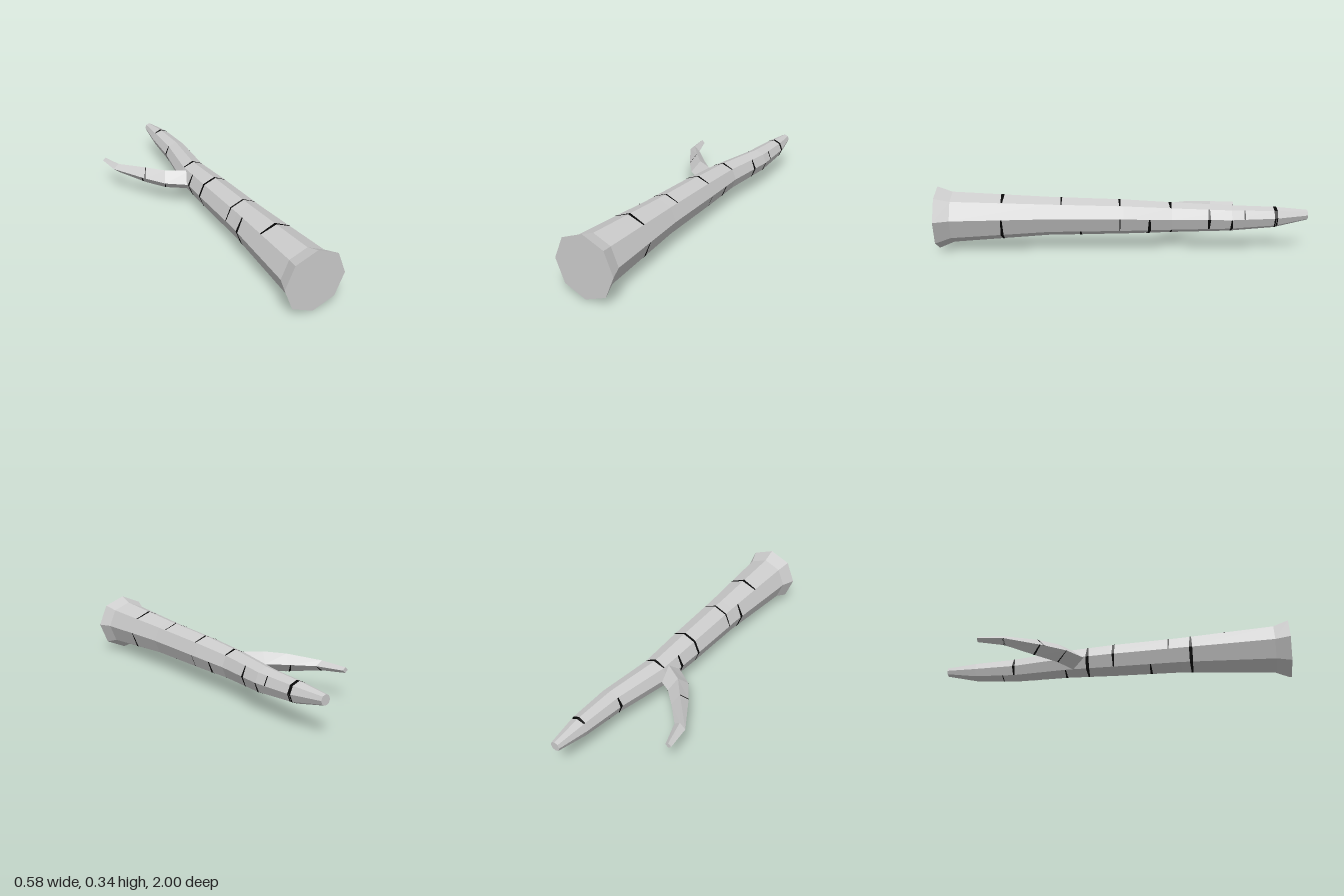
import * as THREE from 'three';

const V = (x, y, z) => new THREE.Vector3(x, y, z);

// Flat-shaded mesh from a list of corner points, three per triangle
function facetMesh(name, points, material) {
  const geometry = new THREE.BufferGeometry().setFromPoints(points);
  geometry.computeVertexNormals();
  const mesh = new THREE.Mesh(geometry, material);
  mesh.name = name;
  return mesh;
}

// Skin a row of rings (counter-clockwise seen from the start) and cap both ends
function loft(rings) {
  const points = [], n = rings[0].length, last = rings[rings.length - 1];
  for (let i = 0; i < rings.length - 1; i++) {
    for (let j = 0; j < n; j++) {
      const k = (j + 1) % n;
      const a = rings[i][j], b = rings[i][k], c = rings[i + 1][k], d = rings[i + 1][j];
      points.push(a, d, c, a, c, b);
    }
  }
  for (let j = 1; j < n - 1; j++) {
    points.push(rings[0][0], rings[0][j], rings[0][j + 1]);
    points.push(last[0], last[j + 1], last[j]);
  }
  return points;
}

// Point on corner j of the loft at ring position t, lifted just off the bark
function onBark(rings, t, j) {
  const n = rings[0].length;
  const i = Math.min(Math.floor(t), rings.length - 2);
  const ring = rings[i].map((p, k) => p.clone().lerp(rings[i + 1][k], t - i));
  const centre = ring.reduce((s, p) => s.add(p), V(0, 0, 0)).divideScalar(n);
  return ring[((j % n) + n) % n].sub(centre).multiplyScalar(1.012).add(centre);
}

// Dark strip from corner 'from' to corner 'to', tapering towards its ends
function barkMark(rings, before, after, from, to) {
  const points = [];
  const edge = (j) => {
    const mid = onBark(rings, (before + after) / 2, j);
    const taper = j === from || j === to ? 0.5 : 1;
    return [before, after].map((t) => onBark(rings, t, j).lerp(mid, 1 - taper));
  };
  for (let j = from; j < to; j++) {
    const [a, d] = edge(j), [b, c] = edge(j + 1);
    points.push(a, d, c, a, c, b);
  }
  return points;
}

export function createModel() {
  const group = new THREE.Group();
  const bark = new THREE.MeshStandardMaterial({ color: 0xcccccc, flatShading: true });
  const dark = new THREE.MeshStandardMaterial({ color: 0x050505, flatShading: true, side: THREE.DoubleSide });

  // Trunk sections: z, centre x, centre y, radius
  const sections = [
    [1, 0.12, 0.17, 0.169], [0.92, 0.119, 0.172, 0.138], [0.4, 0.12, 0.174, 0.105],
    [0, 0.12, 0.168, 0.095], [-0.26, 0.122, 0.163, 0.083], [-0.58, 0.167, 0.165, 0.07],
    [-0.82, 0.172, 0.17, 0.056], [-1, 0.166, 0.18, 0.027],
  ];
  const trunkRings = sections.map(([z, x, y, r]) => Array.from({ length: 8 }, (_, j) => {
    const angle = (j * Math.PI) / 4;
    return V(x + r * Math.cos(angle), y + r * Math.sin(angle), z);
  }));
  group.add(facetMesh('trunk', loft(trunkRings), bark));

  // Side branch with a diamond section: outer x, z, inner x, z, centre y, half height
  const branchRings = [
    [0.035, -0.15, 0.12, -0.26, 0.16, 0.058],
    [-0.075, -0.225, -0.02, -0.335, 0.16, 0.055],
    [-0.155, -0.335, -0.105, -0.42, 0.162, 0.049],
    [-0.275, -0.535, -0.205, -0.53, 0.164, 0.027],
    [-0.29, -0.675, -0.255, -0.675, 0.166, 0.015],
  ].map(([ox, oz, ix, iz, y, h]) => {
    const x = (ox + ix) / 2, z = (oz + iz) / 2;
    return [V(ix, y, iz), V(x, y + h, z), V(ox, y, oz), V(x, y - h, z)];
  });
  group.add(facetMesh('branch', loft(branchRings), bark));

  // Ring position of a given z along the trunk
  const at = (z) => {
    const i = sections.findIndex((s, k) => k > 0 && s[0] <= z) - 1;
    return i + (sections[i][0] - z) / (sections[i][0] - sections[i + 1][0]);
  };

  // Trunk marks: z, first corner, last corner, width (corner 0 is +x, 2 is the top)
  const marks = [
    [0.65, 1, 3, 0.018], [0.65, -2, 0, 0.016], [0.46, 3, 6, 0.018], [0.335, 1, 4, 0.01],
    [0.23, 5, 7, 0.014], [0.02, 1, 5, 0.014], [0.02, -1, 0, 0.008], [-0.13, 3, 6, 0.018],
    [-0.14, -2, 0, 0.018], [-0.255, 1, 3, 0.016], [-0.26, 5, 7, 0.012], [-0.46, -1, 1, 0.016],
    [-0.58, 3, 5, 0.016], [-0.58, -2, 0, 0.014], [-0.65, 0, 1, 0.014], [-0.65, 5, 6, 0.01],
    [-0.82, -2, 3, 0.018],
  ];
  const trunkMarks = marks.flatMap(([z, from, to, w]) =>
    barkMark(trunkRings, at(z + w / 2), at(z - w / 2), from, to));
  group.add(facetMesh('trunkBarkMarks', trunkMarks, dark));

  // Branch marks: ring position, first corner, last corner
  const branchMarks = [[1, 2, 4], [2, 1, 2], [2.1, 2, 4], [3, 2, 4]].flatMap(([t, from, to]) =>
    barkMark(branchRings, t - 0.03, t + 0.03, from, to));
  group.add(facetMesh('branchBarkMarks', branchMarks, dark));

  return group;
}
